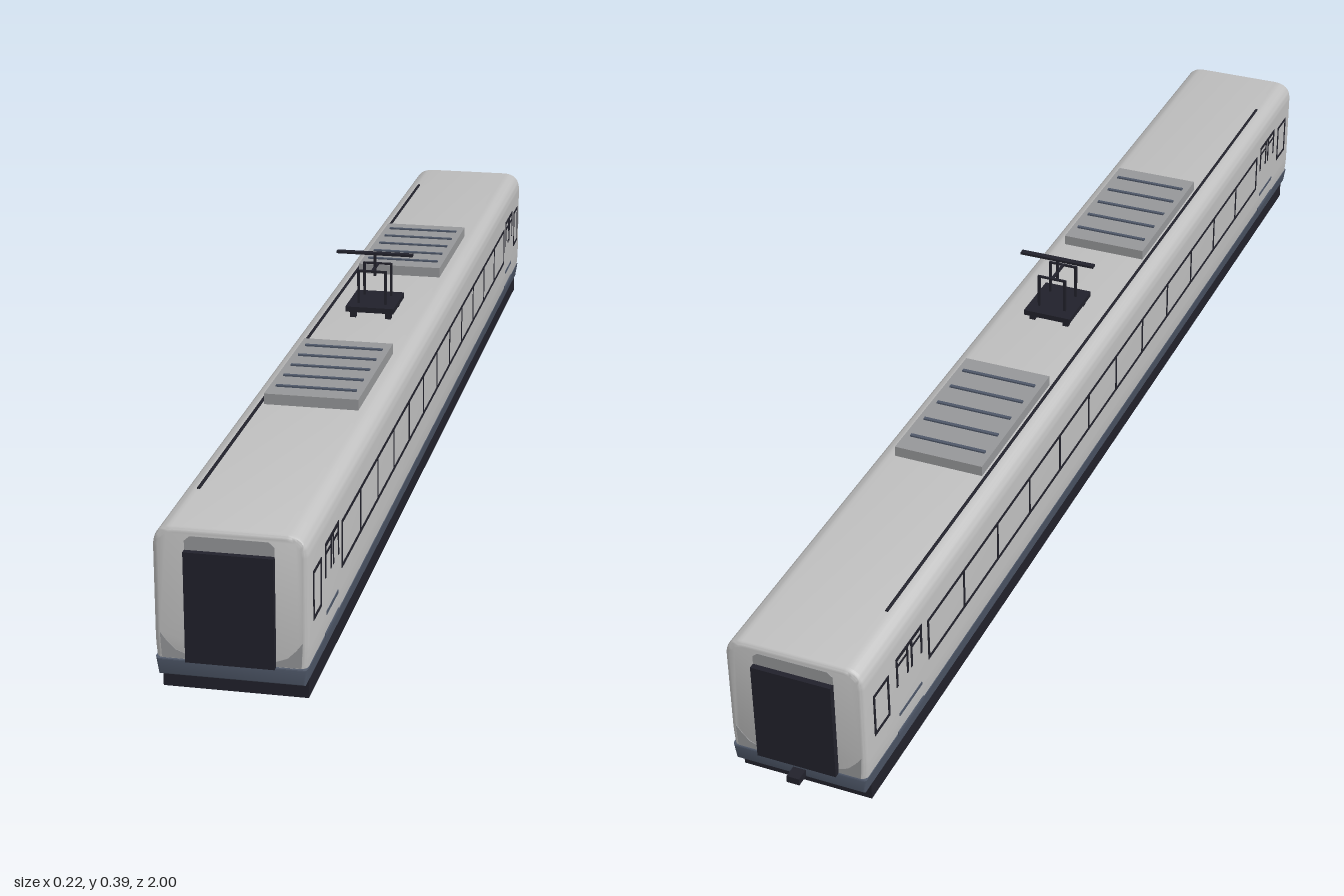
import * as THREE from 'three';
import { toCreasedNormals } from 'three/addons/utils/BufferGeometryUtils.js';

const mat = (name, color) => new THREE.MeshStandardMaterial({ name, color });

export function createModel() {
  const silver = mat('silver', 0xc0c0c0);
  const grey = mat('grey', 0x969799);
  const slate = mat('slate', 0x4e5768);
  const dark = mat('dark', 0x21212b);

  const model = new THREE.Group();
  model.name = 'railCar';
  const car = new THREE.Group();
  car.name = 'car';
  car.position.z = 0.006;
  model.add(car);

  const add = (parent, name, geo, material, x = 0, y = 0, z = 0) => {
    const m = new THREE.Mesh(geo, material);
    m.name = name;
    m.position.set(x, y, z);
    parent.add(m);
    return m;
  };
  const group = (name, x = 0, y = 0, z = 0) => {
    const g = new THREE.Group();
    g.name = name;
    g.position.set(x, y, z);
    car.add(g);
    return g;
  };
  // box given by its limits on each axis
  const block = (parent, name, material, x0, x1, y0, y1, z0, z1) =>
    add(parent, name, new THREE.BoxGeometry(x1 - x0, y1 - y0, z1 - z0), material,
      (x0 + x1) / 2, (y0 + y1) / 2, (z0 + z1) / 2);
  // cross-section run along the car, with softened ends
  const hull = (shape, half, bevel) => {
    const g = new THREE.ExtrudeGeometry(shape, {
      depth: 2 * (half - bevel), bevelThickness: bevel, bevelSize: bevel,
      bevelOffset: -bevel, bevelSegments: 4, curveSegments: 10,
    });
    g.translate(0, 0, -(half - bevel));
    return toCreasedNormals(g, 0.6);
  };

  // body shell: slightly tucked in at the sill, rounded at the roof
  const body = new THREE.Shape();
  body.moveTo(-0.101, 0.07);
  body.lineTo(0.101, 0.07);
  body.quadraticCurveTo(0.107, 0.1, 0.107, 0.13);
  body.lineTo(0.107, 0.255);
  body.quadraticCurveTo(0.107, 0.287, 0.073, 0.287);
  body.lineTo(-0.073, 0.287);
  body.quadraticCurveTo(-0.107, 0.287, -0.107, 0.255);
  body.lineTo(-0.107, 0.13);
  body.quadraticCurveTo(-0.107, 0.1, -0.101, 0.07);
  add(car, 'bodyShell', hull(body, 0.983, 0.008), silver);

  // slate sill band
  const sill = new THREE.Shape();
  sill.moveTo(-0.102, 0.069);
  sill.lineTo(0.102, 0.069);
  sill.lineTo(0.1062, 0.095);
  sill.lineTo(-0.1062, 0.095);
  add(car, 'sillBand', hull(sill, 0.9845, 0.004), slate);

  // underframe
  block(car, 'underframe', dark, -0.102, 0.102, 0.042, 0.071, -0.963, 0.963);

  // windows, doors and ends
  const frame = (parent, x, z0, z1, y0, y1, t) => {
    const s = new THREE.Shape();
    s.moveTo(z0, y0); s.lineTo(z1, y0); s.lineTo(z1, y1); s.lineTo(z0, y1);
    const h = new THREE.Path();
    h.moveTo(z0 + t, y0 + t); h.lineTo(z0 + t, y1 - t);
    h.lineTo(z1 - t, y1 - t); h.lineTo(z1 - t, y0 + t);
    s.holes.push(h);
    const g = new THREE.ExtrudeGeometry(s, { depth: 0.002, bevelEnabled: false });
    g.rotateY(-Math.PI / 2);
    g.translate(x + 0.001, 0, 0);
    add(parent, 'windowFrame', g, dark);
  };
  for (const sx of [-1, 1]) {
    const side = group(sx > 0 ? 'leftSide' : 'rightSide');
    const x = sx * 0.107;
    const pane = 1.54 / 12;
    for (let i = 0; i < 12; i++) {
      const z = -0.77 + i * pane;
      frame(side, x, z - 0.0025, z + pane + 0.0025, 0.153, 0.225, 0.005);
    }
    for (const sz of [-1, 1]) {
      const a = sz * 0.904, b = sz * 0.954;
      frame(side, x, Math.min(a, b), Math.max(a, b), 0.153, 0.225, 0.005);
      // double door: header, leaf edges, sill lines
      const bar = (name, m, y0, y1, z, w) =>
        block(side, name, m, x - 0.001, x + 0.001, y0, y1, sz * z - w / 2, sz * z + w / 2);
      bar('doorHeader', dark, 0.228, 0.234, 0.836, 0.088);
      for (const [z, y] of [[0.795, 0.183], [0.828, 0.183], [0.842, 0.183], [0.877, 0.183]])
        bar('doorWindowEdge', dark, y, 0.23, z, 0.005);
      for (const z of [0.812, 0.86]) bar('doorWindowTop', dark, 0.216, 0.22, z, 0.028);
      bar('doorLine', slate, 0.126, 0.131, 0.836, 0.076);
      bar('doorStep', slate, 0.094, 0.1, 0.836, 0.088);
    }
  }

  for (const sz of [-1, 1]) {
    const end = group(sz > 0 ? 'frontEnd' : 'rearEnd');
    if (sz < 0) end.rotation.y = Math.PI;
    block(end, 'gangway', dark, -0.062, 0.062, 0.094, 0.255, 0.97, 0.993);
    const plate = (name, pts) => {
      const s = new THREE.Shape(pts.map(p => new THREE.Vector2(...p)));
      add(end, name, new THREE.ExtrudeGeometry(s, { depth: 0.001, bevelEnabled: false }), grey, 0, 0, 0.983);
    };
    plate('gangwayHood', [[-0.062, 0.254], [0.062, 0.254], [0.062, 0.268], [0.054, 0.275], [-0.054, 0.275], [-0.062, 0.268]]);
    plate('cornerPanel', [[0.062, 0.095], [0.097, 0.095], [0.099, 0.132], [0.09, 0.12], [0.078, 0.108], [0.062, 0.102]]);
    plate('cornerPanel', [[-0.062, 0.095], [-0.062, 0.102], [-0.078, 0.108], [-0.09, 0.12], [-0.099, 0.132], [-0.097, 0.095]]);
  }
  block(car, 'rearCoupler', dark, -0.01, 0.01, 0.072, 0.083, -1.006, -0.95);

  // roof units with slats
  for (const sz of [-1, 1]) {
    const unit = group('roofUnit', 0, 0, sz * 0.354);
    block(unit, 'roofUnitCase', grey, -0.073, 0.073, 0.28, 0.304, -0.137, 0.137);
    for (let i = -2; i <= 2; i++)
      block(unit, 'roofUnitSlat', slate, -0.063, 0.063, 0.303, 0.3065, i * 0.05 - 0.003, i * 0.05 + 0.003);
  }
  const conduit = new THREE.CylinderGeometry(0.0025, 0.0025, 1.69, 8);
  conduit.rotateX(Math.PI / 2);
  add(car, 'roofConduit', conduit, dark, -0.079, 0.2872, 0);

  // current collector on the roof
  const collector = group('currentCollector');
  block(collector, 'collectorBase', dark, -0.041, 0.041, 0.299, 0.308, -0.049, 0.049);
  for (const sx of [-1, 1]) for (const sz of [-1, 1]) {
    const x = sx * 0.023, z = sz * 0.025;
    block(collector, 'collectorFoot', dark, sx * 0.03 - 0.005, sx * 0.03 + 0.005, 0.285, 0.3, sz * 0.035 - 0.005, sz * 0.035 + 0.005);
    block(collector, 'collectorPost', dark, x - 0.002, x + 0.002, 0.306, 0.365, z - 0.002, z + 0.002);
  }
  for (const sz of [-1, 1])
    block(collector, 'collectorCrossbar', dark, -0.025, 0.025, 0.363, 0.366, sz * 0.025 - 0.002, sz * 0.025 + 0.002);
  block(collector, 'collectorLink', dark, -0.002, 0.002, 0.362, 0.366, -0.025, 0.025);
  block(collector, 'collectorMast', dark, -0.0018, 0.0018, 0.35, 0.39, -0.002, 0.002);
  block(collector, 'collectorHead', dark, -0.065, 0.065, 0.387, 0.391, -0.005, 0.005);

  // bogies
  const wheelGeo = new THREE.CylinderGeometry(0.035, 0.035, 0.008, 24).rotateZ(Math.PI / 2);
  const axleGeo = new THREE.CylinderGeometry(0.006, 0.006, 0.136, 10).rotateZ(Math.PI / 2);
  for (const sz of [-1, 1]) {
    const bogie = group('bogie', 0, 0, sz * 0.67);
    for (const z of [-0.093, 0.093]) {
      add(bogie, 'axle', axleGeo, dark, 0, 0.035, z);
      for (const sx of [-1, 1]) {
        add(bogie, 'wheel', wheelGeo, dark, sx * 0.053, 0.035, z);
        block(bogie, 'axleBox', dark, sx * 0.068 - 0.005, sx * 0.068 + 0.005, 0.027, 0.045, z - 0.017, z + 0.017);
      }
    }
    for (const sx of [-1, 1])
      block(bogie, 'bogieSideFrame', dark, sx * 0.068 - 0.004, sx * 0.068 + 0.004, 0.037, 0.044, -0.11, 0.11);
    block(bogie, 'bogieBolster', dark, -0.066, 0.066, 0.036, 0.044, -0.02, 0.02);
  }
  return model;
}
